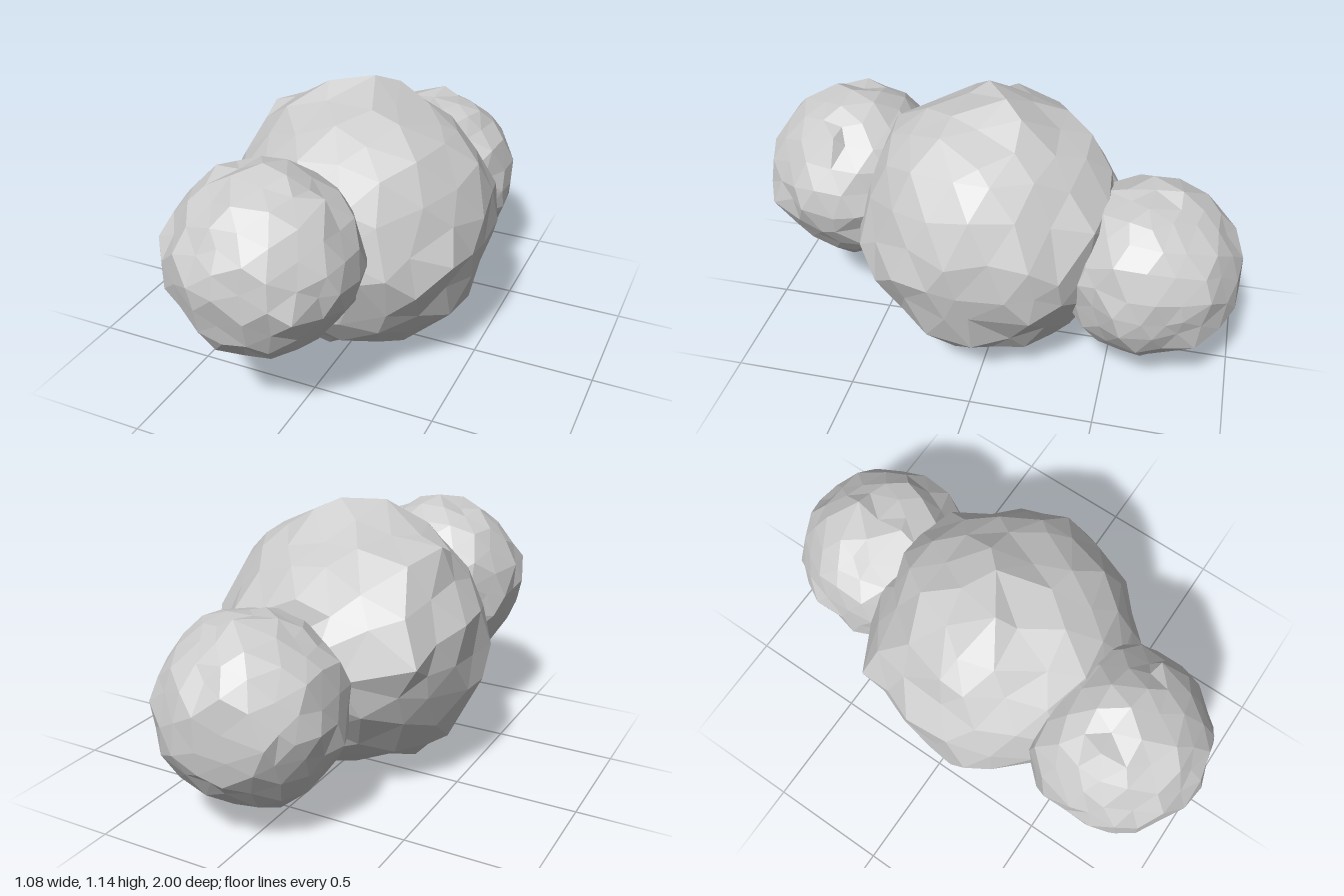
import * as THREE from 'three';
import { mergeVertices } from 'three/addons/utils/BufferGeometryUtils.js';

// Small seeded generator, returns values from -1 to 1
function seeded(seed) {
  let s = seed;
  return () => {
    s = (s * 16807) % 2147483647;
    return (s / 2147483647) * 2 - 1;
  };
}

// Faceted lump: a roughened icosphere whose nearest vertices are pulled onto outline corners
function lump({ name, center, radius, seed, corners }, material) {
  let geo = new THREE.IcosahedronGeometry(radius, 3);
  geo.deleteAttribute('uv');
  geo.deleteAttribute('normal');
  geo = mergeVertices(geo, 1e-3);

  const rand = seeded(seed);
  const rough = radius * 0.045;
  const origin = new THREE.Vector3(...center);
  const pos = geo.attributes.position;
  const points = [];
  for (let i = 0; i < pos.count; i++) {
    const shift = new THREE.Vector3(rand(), rand(), rand()).multiplyScalar(rough);
    points.push(new THREE.Vector3().fromBufferAttribute(pos, i).add(shift).add(origin));
  }

  const free = new Set(points);
  for (const corner of corners) {
    const target = new THREE.Vector3(...corner);
    let nearest = null;
    for (const p of free) {
      if (!nearest || p.distanceTo(target) < nearest.distanceTo(target)) nearest = p;
    }
    nearest.copy(target);
    free.delete(nearest);
  }

  points.forEach((p, i) => pos.setXYZ(i, p.x, p.y, p.z));
  geo.computeVertexNormals();
  const mesh = new THREE.Mesh(geo, material);
  mesh.name = name;
  return mesh;
}

const LUMPS = [
  // Large middle lump
  {
    name: 'middleLump', center: [-0.01, 0.57, 0.02], radius: 0.538, seed: 11717,
    corners: [
      [-0.13, 1.13, 0.06], [0.02, 1.14, -0.04], [0.31, 1.0, 0], [0.47, 0.865, 0],
      [0.53, 0.68, 0.08], [0.5, 0.44, 0], [0.46, 0.26, 0], [0.21, 0.07, 0],
      [-0.08, 0, 0.2], [-0.31, 0.08, 0], [-0.45, 0.2, 0], [-0.53, 0.42, 0],
      [-0.53, 0.72, 0.1], [-0.4, 0.985, 0], [-0.47, 0.62, -0.36], [-0.22, 0.57, -0.5],
      [0.42, 0.6, -0.33], [0.49, 0.57, 0.3], [0.2, 0.55, 0.53], [-0.49, 0.55, 0.28],
      [0, 1.05, 0.28], [0, 0.1, -0.28],
    ],
  },
  // Smaller lump at the front, set high and towards -x
  {
    name: 'frontLump', center: [-0.12, 0.65, 0.63], radius: 0.363, seed: 52361,
    corners: [
      [-0.48, 0.76, 0.63], [-0.45, 0.51, 0.63], [-0.14, 0.27, 0.6], [0.04, 0.31, 0.63],
      [0.235, 0.56, 0.62], [0.13, 0.94, 0.63], [-0.11, 1.03, 0.63], [-0.3, 0.985, 0.63],
      [-0.12, 0.68, 1.0], [-0.44, 0.62, 0.82], [0.14, 0.6, 0.92], [-0.12, 0.33, 0.81],
      [-0.12, 0.96, 0.84],
    ],
  },
  // Smaller lump at the back, set low and towards +x
  {
    name: 'backLump', center: [0.06, 0.48, -0.635], radius: 0.363, seed: 90821,
    corners: [
      [0.06, 0.45, -1.0], [-0.18, 0.48, -0.93], [-0.29, 0.48, -0.62], [0.42, 0.48, -0.54],
      [0.38, 0.48, -0.8], [0.06, 0.85, -0.74], [0.06, 0.83, -0.53], [0.06, 0.1, -0.56],
      [0.06, 0.14, -0.78], [0.06, 0.68, -0.92],
    ],
  },
];

export function createModel() {
  const group = new THREE.Group();
  group.name = 'lumpCluster';
  const material = new THREE.MeshStandardMaterial({ color: 0xcccccc, flatShading: true });
  for (const spec of LUMPS) group.add(lump(spec, material));
  return group;
}
